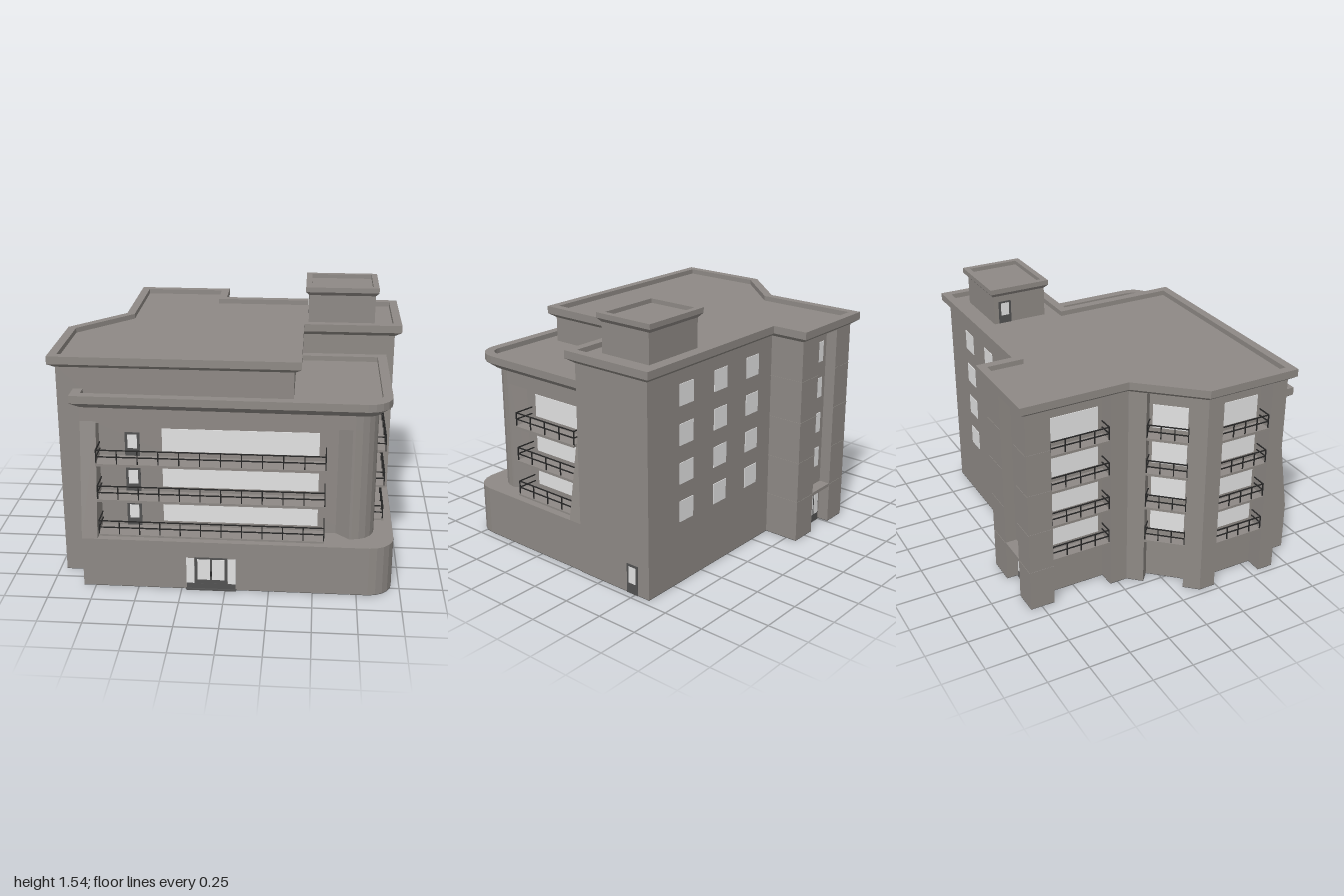
import * as THREE from 'three';

const mat = (name, color) => {
  const m = new THREE.MeshStandardMaterial({ color });
  m.name = name;
  return m;
};

export function createModel() {
  const wall = mat('warm grey wall', 0x8e8985);
  const glass = mat('pale glass', 0xe2e2e2);
  const frame = mat('dark frame', 0x525252);
  const metal = mat('black railing', 0x262626);
  const model = new THREE.Group();
  model.name = 'building';

  const add = (name, geo, material, parent = model) => {
    const m = new THREE.Mesh(geo, material);
    m.name = name;
    parent.add(m);
    return m;
  };
  // Box from min/max on each axis
  const box = (name, x0, x1, y0, y1, z0, z1, material, parent) =>
    add(name, new THREE.BoxGeometry(x1 - x0, y1 - y0, z1 - z0), material, parent)
      .position.set((x0 + x1) / 2, (y0 + y1) / 2, (z0 + z1) / 2);
  const planShape = (pts) => new THREE.Shape(pts.map(([x, z]) => new THREE.Vector2(x, -z)));
  // Upright prism from a plan of [x, z] corners
  const prism = (name, pts, y0, y1, material = wall) => {
    const g = new THREE.ExtrudeGeometry(planShape(pts), { depth: y1 - y0, bevelEnabled: false });
    g.rotateX(-Math.PI / 2).translate(0, y0, 0);
    return add(name, g, material);
  };
  // Quarter round at the front right corner, from the front edge to the side edge
  const corner = (x, z, r, n = 5) => Array.from({ length: n + 1 }, (_, i) => {
    const a = (1 - i / n) * Math.PI / 2;
    return [x - r + r * Math.cos(a), z - r + r * Math.sin(a)];
  });
  // Mitred inward offset of a plan
  const inset = (pts, d) => {
    const area = pts.reduce((s, p, i) => {
      const q = pts[(i + 1) % pts.length];
      return s + p[0] * q[1] - q[0] * p[1];
    }, 0);
    const k = Math.sign(area) * d, n = pts.length;
    const normal = (a, b) => {
      const l = Math.hypot(b[0] - a[0], b[1] - a[1]);
      return [-(b[1] - a[1]) / l, (b[0] - a[0]) / l];
    };
    return pts.map((p, i) => {
      const u = normal(pts[(i + n - 1) % n], p), v = normal(p, pts[(i + 1) % n]);
      const s = k / (1 + u[0] * v[0] + u[1] * v[1]);
      return [p[0] + (u[0] + v[0]) * s, p[1] + (u[1] + v[1]) * s];
    });
  };
  // Cornice, parapet and deck
  const roof = (name, outline, y0, y1, y2, deck, lip, overhang) => {
    const inner = inset(outline, lip);
    const rings = [[inset(outline, overhang), y0], [outline, y1], [outline, y2], [inner, y2], [inner, deck]];
    const pos = [], n = outline.length;
    for (let r = 0; r < rings.length - 1; r++) {
      for (let i = 0; i < n; i++) {
        const j = (i + 1) % n;
        const at = ([pts, y], k) => [pts[k][0], y, pts[k][1]];
        const a = at(rings[r], i), b = at(rings[r], j), c = at(rings[r + 1], j), d = at(rings[r + 1], i);
        pos.push(...a, ...c, ...b, ...a, ...d, ...c);
      }
    }
    const g = new THREE.BufferGeometry();
    g.setAttribute('position', new THREE.Float32BufferAttribute(pos, 3));
    g.computeVertexNormals();
    add(name + 'Cornice', g, wall);
    add(name + 'Deck', new THREE.ShapeGeometry(planShape(inner)).rotateX(-Math.PI / 2).translate(0, deck, 0), wall);
  };
  // Local frame on a facade: x along the wall, z outward
  const facade = (name, x, z, angle) => {
    const g = new THREE.Group();
    g.name = name;
    g.position.set(x, 0, z);
    g.rotation.y = angle;
    model.add(g);
    return g;
  };
  const pane = (f, x0, x1, y0, y1) => box('windowGlass', x0, x1, y0, y1, -0.004, 0.004, glass, f);
  const door = (f, x, y, w, h) => {
    box('doorFrame', x - w / 2, x + w / 2, y, y + h, -0.004, 0.003, frame, f);
    box('doorGlass', x - w * 0.32, x + w * 0.32, y + h * 0.36, y + h * 0.92, -0.002, 0.005, glass, f);
  };
  // Slab with a two-bar railing around its open sides
  const balcony = (f, x0, x1, y, depth, step) => {
    box('balconySlab', x0, x1, y - 0.008, y + 0.007, -0.01, depth, wall, f);
    const t = 0.003, z = depth - 0.008, h = 0.088;
    for (const r of [h, h - 0.04]) {
      box('frontRail', x0, x1, y + r - t, y + r + t, z - t, z + t, metal, f);
      for (const x of [x0 + t, x1 - t]) box('sideRail', x - t, x + t, y + r - t, y + r + t, 0, z, metal, f);
    }
    const n = Math.max(2, Math.round((x1 - x0) / step));
    for (let i = 0; i <= n; i++) {
      const x = x0 + t + (x1 - x0 - 2 * t) * i / n;
      box('railPost', x - t, x + t, y, y + h, z - t, z + t, metal, f);
    }
  };

  // Main body with full-height recesses at the rear and left
  const mainPlan = [
    [-0.66, -0.82], [-0.51, -0.82], [-0.51, -0.75], [-0.32, -0.75], [-0.32, -0.82], [-0.15, -0.82],
    [-0.15, -0.6], [0.96, -0.6], [0.96, -0.085], [0.37, -0.085], [0.37, 0.66], [-0.96, 0.66],
    [-0.96, 0.56], [-0.86, 0.56], [-0.86, 0.24], [-0.96, 0.24], [-0.96, 0.14],
    [-0.891, 0.064], [-0.831, 0.118], [-0.669, -0.06], [-0.729, -0.114],
    [-0.66, -0.19], [-0.66, -0.3], [-0.56, -0.3], [-0.56, -0.67], [-0.66, -0.67],
  ];
  prism('mainWalls', mainPlan, 0.003, 1.28);
  prism('mainFooting', mainPlan, 0, 0.003, frame);
  roof('mainRoof', [
    [-0.7, -0.86], [-0.11, -0.86], [-0.11, -0.64], [1, -0.64], [1, -0.045], [0.41, -0.045],
    [0.41, 0.695], [-1, 0.695], [-1, 0.12], [-0.7, -0.21],
  ], 1.265, 1.295, 1.34, 1.31, 0.05, 0.042);
  // Soffit closes the recesses under the cornice
  prism('recessHeads', [[-0.66, -0.82], [-0.15, -0.82], [-0.15, -0.5], [0, 0.66], [-0.96, 0.66],
    [-0.96, 0.14], [-0.66, -0.19]], 1.262, 1.285);

  // Roof house
  box('roofHouse', 0.435, 0.84, 1.3, 1.5, -0.51, -0.175, wall);
  roof('roofHouse', [[0.415, -0.535], [0.86, -0.535], [0.86, -0.155], [0.415, -0.155]], 1.485, 1.51, 1.54, 1.515, 0.035, 0.022);
  door(facade('roofDoor', 0.435, -0.44, -Math.PI / 2), 0, 1.31, 0.08, 0.14);

  // Rounded front block: base, recessed core, corner column and head beam
  const basePlan = [[-0.82, 0.5], [-0.82, 0.84], ...corner(0.955, 0.84, 0.14), [0.955, -0.08], [0.3, -0.08]];
  prism('frontBase', basePlan, 0.003, 0.3);
  prism('frontFooting', basePlan, 0, 0.003, frame);
  prism('recessedCore', [[-0.82, 0.5], [-0.82, 0.665], [0.775, 0.665], [0.775, -0.08], [0.3, -0.08]], 0.29, 0.98);
  prism('cornerColumn', [[0.62, 0.66], [0.7, 0.735], ...corner(0.845, 0.735, 0.13), [0.845, 0.59], [0.77, 0.51], [0.62, 0.51]], 0.29, 0.98);
  prism('headBeam', [[-0.82, 0.5], [-0.82, 0.735], ...corner(0.845, 0.735, 0.13), [0.845, -0.08], [0.3, -0.08]], 0.97, 1.08);
  roof('frontRoof', [[-0.865, 0.6], [0.3, 0.6], [0.3, -0.085], [0.915, -0.085], ...corner(0.915, 0.8, 0.14).reverse(), [-0.865, 0.785]],
    1.055, 1.1, 1.145, 1.115, 0.055, 0.06);

  // Sloping end fins
  const fin = (name, thick, depth0, depth1, depth2) => {
    const s = new THREE.Shape([[depth0, 0.29], [depth2, 0.3], [depth1, 0.98], [depth0, 0.98]].map((p) => new THREE.Vector2(...p)));
    return add(name, new THREE.ExtrudeGeometry(s, { depth: thick, bevelEnabled: false }), wall);
  };
  fin('sideFin', 0.09, 0.6, 0.845, 0.955).position.z = -0.085;
  const frontFin = fin('frontFin', 0.09, 0.5, 0.735, 0.84);
  frontFin.rotation.y = -Math.PI / 2;
  frontFin.position.x = -0.73;

  // Three floors of front and side balconies
  const front = facade('frontFacade', 0, 0.665, 0);
  const side = facade('sideFacade', 0.775, 0, Math.PI / 2);
  for (const y of [0.304, 0.522, 0.742]) {
    pane(front, -0.37, 0.52, y + 0.04, y + 0.178);
    door(front, -0.54, y, 0.085, 0.15);
    balcony(front, -0.73, 0.56, y, 0.135, 0.118);
    pane(side, -0.44, -0.07, y + 0.04, y + 0.178);
    balcony(side, -0.48, 0, y, 0.135, 0.118);
  }

  // Main entrance with a low step
  const entry = facade('mainEntrance', -0.08, 0.84, 0);
  box('entranceStep', -0.145, 0.145, 0, 0.008, -0.01, 0.016, frame, entry);
  box('entranceFrame', -0.14, 0.14, 0, 0.04, -0.004, 0.005, frame, entry);
  box('entranceFrame', -0.095, 0.095, 0, 0.205, -0.004, 0.004, frame, entry);
  for (const s of [-1, 1]) {
    box('doorLeafGlass', s * 0.042 - 0.036, s * 0.042 + 0.036, 0.065, 0.195, -0.002, 0.006, glass, entry);
    box('sideLight', s * 0.119 - 0.023, s * 0.119 + 0.023, 0.04, 0.2, -0.004, 0.003, glass, entry);
  }
  box('doorHandles', -0.006, 0.006, 0.09, 0.12, 0, 0.009, metal, entry);
  door(facade('serviceEntrance', 0.96, -0.48, Math.PI / 2), 0, 0, 0.08, 0.18);

  // Rear windows and left-side recessed balconies on four floors
  const back = facade('backFacade', 0, -0.6, Math.PI);
  const wing = facade('wingBack', -0.415, -0.75, Math.PI);
  const recesses = [
    [facade('wingSide', -0.56, -0.485, -Math.PI / 2), 0.37, 0.095],
    [facade('diagonalFacade', -0.75, 0.029, Math.atan2(-0.33, -0.3)), 0.24, 0.078],
    [facade('leftFacade', -0.86, 0.4, -Math.PI / 2), 0.32, 0.095],
  ];
  for (let i = 0; i < 4; i++) {
    const y = 0.38 + i * 0.228;
    for (const x of [0.04, 0.34, 0.64]) pane(back, -x - 0.058, -x + 0.058, y, y + 0.125);
    pane(wing, -0.06, 0.06, y, y + 0.125);
    for (const [f, w, d] of recesses) {
      pane(f, -w * 0.42, w * 0.42, y - 0.05, y + 0.095);
      balcony(f, -w / 2, w / 2, y - 0.09, d, 0.09);
    }
  }

  // Wing door with canopy
  box('wingCanopy', -0.095, 0.095, 0.24, 0.26, -0.01, 0.068, wall, wing);
  box('wingDoorFrame', -0.08, 0.08, 0, 0.2, -0.004, 0.003, frame, wing);
  for (const x of [-0.055, 0, 0.055]) box('wingDoorGlass', x - 0.021, x + 0.021, 0.05, 0.19, -0.002, 0.005, glass, wing);

  // Shallow string courses on the wing pillars
  for (const y of [0.255, 0.51, 0.765, 1.02]) {
    box('stringCourse', -0.662, -0.51, y - 0.003, y + 0.003, -0.822, -0.67, wall);
    box('stringCourse', -0.32, -0.148, y - 0.003, y + 0.003, -0.822, -0.6, wall);
  }
  return model;
}
